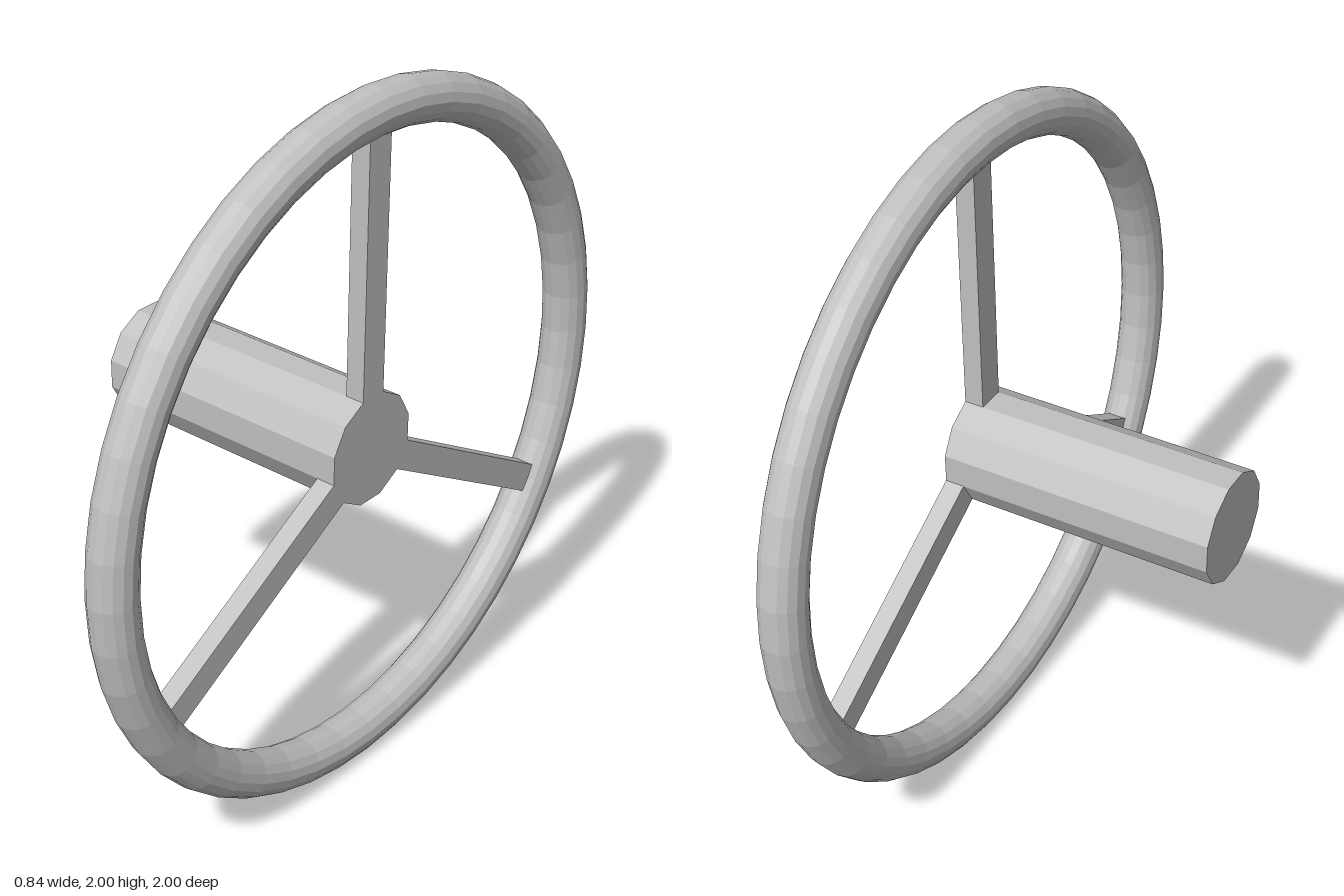
import * as THREE from 'three';

export function createModel() {
  const group = new THREE.Group();
  const metal = new THREE.MeshStandardMaterial({ color: 0xc0c0c0, flatShading: true });
  metal.name = 'grey metal';

  const add = (name, geometry, parent = group) => {
    const mesh = new THREE.Mesh(geometry, metal);
    mesh.name = name;
    parent.add(mesh);
    return mesh;
  };

  const wheelX = 0.355;     // plane of the wheel
  const spokeDepth = 0.056;
  const apothem = 0.155;    // hub centre to the middle of a flat
  const spokeWidth = 2 * apothem * Math.tan(Math.PI / 12);

  // Rim
  const rim = add('rim', new THREE.TorusGeometry(0.935, 0.065, 16, 48).rotateY(Math.PI / 2));
  rim.position.set(wheelX, 1, 0);

  // Twelve-sided hub, flush with the outer face of the spokes
  const hubBack = -0.42, hubFront = wheelX + spokeDepth / 2;
  const hubRadius = apothem / Math.cos(Math.PI / 12);
  const hub = add('hub', new THREE.CylinderGeometry(
    hubRadius, hubRadius, hubFront - hubBack, 12, 1, false, Math.PI / 12).rotateZ(-Math.PI / 2));
  hub.position.set((hubBack + hubFront) / 2, 1, 0);

  // Three spokes, each as wide as one flat of the hub
  const spokes = new THREE.Group();
  spokes.name = 'spokes';
  spokes.position.set(wheelX, 1, 0);
  group.add(spokes);
  const spokeEnd = 0.92;
  for (let i = 0; i < 3; i++) {
    const spoke = add('spoke', new THREE.BoxGeometry(spokeDepth, spokeEnd - apothem, spokeWidth)
      .translate(0, (spokeEnd + apothem) / 2, 0), spokes);
    spoke.rotation.x = i * Math.PI * 2 / 3;
  }

  return group;
}
